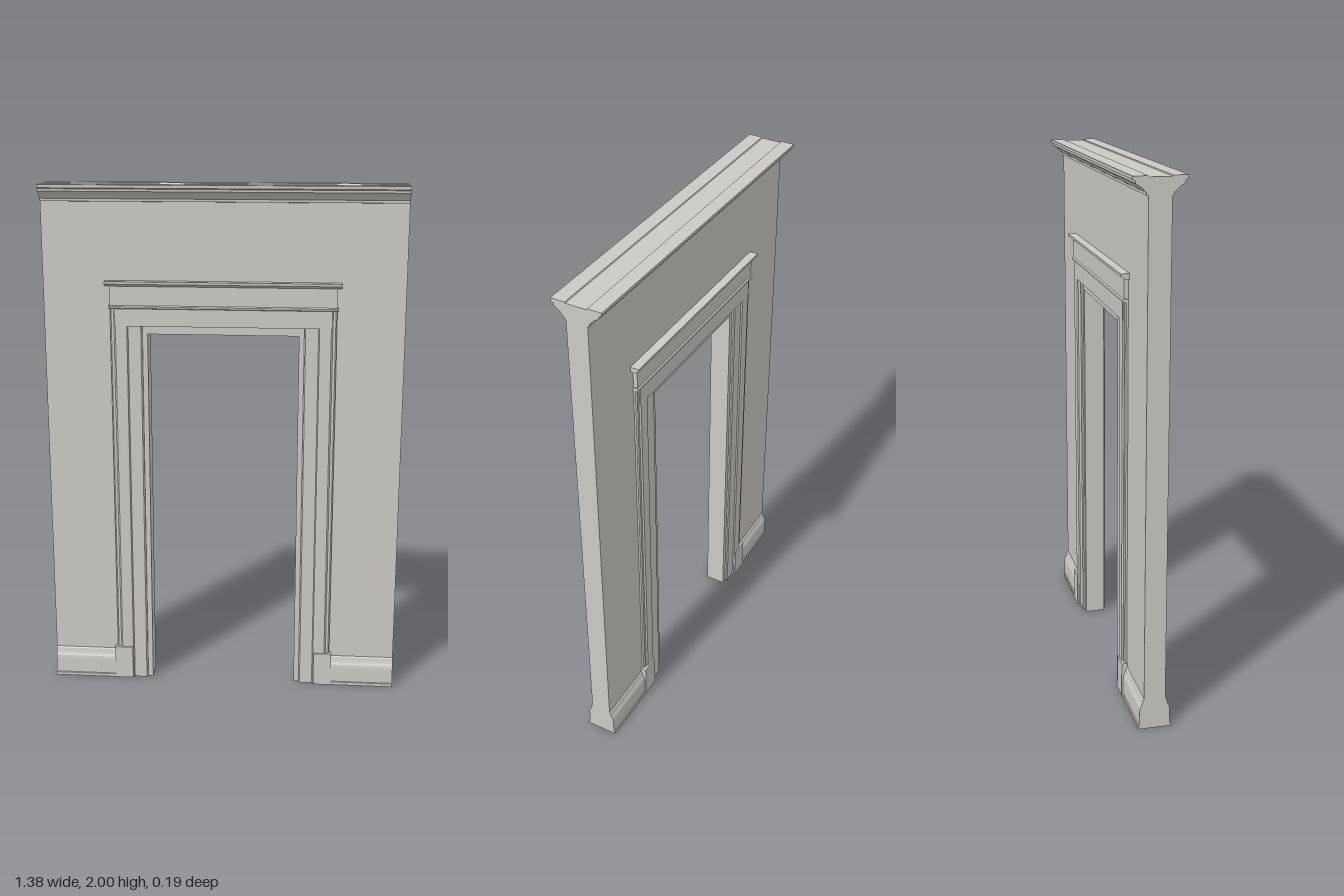
import * as THREE from 'three';

const stone = new THREE.MeshStandardMaterial({ color: 0xcccac4 });
stone.name = 'warm grey plaster';

// Closed outline, symmetric about the wall's middle plane, from a half profile of [depth, along]
function symmetric(half) {
  return [...half, ...half.map(([d, a]) => [-d, a]).reverse()];
}

function extrude(points, depth) {
  const shape = new THREE.Shape(points.map(([x, y]) => new THREE.Vector2(x, y)));
  return new THREE.ExtrudeGeometry(shape, { depth, bevelEnabled: false });
}

function part(name, geometry) {
  const mesh = new THREE.Mesh(geometry, stone);
  mesh.name = name;
  return mesh;
}

// Moulding running along x, half profile given as [z, y]
function horizontal(name, half, x0, x1) {
  const g = extrude(symmetric(half), x1 - x0);
  g.rotateY(Math.PI / 2).translate(x0, 0, 0);
  return part(name, g);
}

// Moulding running up y, half profile given as [z, x]
function vertical(name, half, side, y0, y1) {
  const points = symmetric(half).map(([z, x]) => [x * side, z]);
  const g = extrude(points, y1 - y0);
  g.rotateX(-Math.PI / 2).translate(0, y0, 0);
  return part(name, g);
}

export function createModel() {
  const model = new THREE.Group();
  model.name = 'wallWithDoorway';

  // Wall with a door opening that reaches the floor
  const wall = extrude([
    [-0.69, 0], [-0.29, 0], [-0.29, 1.435], [0.29, 1.435],
    [0.29, 0], [0.69, 0], [0.69, 1.99], [-0.69, 1.99],
  ], 0.08);
  wall.translate(0, 0, -0.04);
  model.add(part('wall', wall));

  // Crown moulding on both faces, with the wall top slightly sunk between
  model.add(horizontal('cornice', [
    [0.04, 1.935], [0.046, 1.936], [0.047, 1.946], [0.052, 1.949],
    [0.058, 1.957], [0.067, 1.965], [0.078, 1.971], [0.083, 1.975],
    [0.084, 1.984], [0.093, 1.988], [0.094, 2], [0.041, 2], [0.039, 1.996],
  ], -0.69, 0.69));

  // Header over the opening: lower board, bead, frieze and cap
  model.add(horizontal('headerBoard', [[0.056, 1.467], [0.056, 1.535]], -0.415, 0.415));
  model.add(horizontal('headerBead', [
    [0.056, 1.534], [0.061, 1.537], [0.061, 1.543], [0.056, 1.547],
  ], -0.436, 0.436));
  model.add(horizontal('frieze', [[0.056, 1.54], [0.056, 1.627]], -0.433, 0.433));
  model.add(horizontal('headerCap', [
    [0.056, 1.62], [0.064, 1.625], [0.072, 1.63], [0.073, 1.64],
  ], -0.45, 0.45));

  for (const side of [1, -1]) {
    const label = side > 0 ? 'left' : 'right';

    // Stepped door casing
    model.add(vertical(label + 'Casing', [
      [0.046, 0.31], [0.05, 0.315], [0.05, 0.364], [0.055, 0.368],
      [0.056, 0.375], [0.056, 0.412], [0.051, 0.418], [0.051, 0.428], [0.047, 0.433],
    ], side, 0, 1.54));

    // Plinth block at the foot of the casing
    model.add(vertical(label + 'Plinth', [[0.062, 0.37], [0.062, 0.442]], side, 0, 0.135));

    // Skirting board with a curved top and a small foot
    const [x0, x1] = side > 0 ? [0.44, 0.69] : [-0.69, -0.44];
    model.add(horizontal(label + 'Skirting', [
      [0.061, 0], [0.061, 0.012], [0.057, 0.014], [0.056, 0.075], [0.054, 0.086],
      [0.049, 0.095], [0.046, 0.105], [0.044, 0.115], [0.04, 0.12],
    ], x0, x1));
  }
  return model;
}
